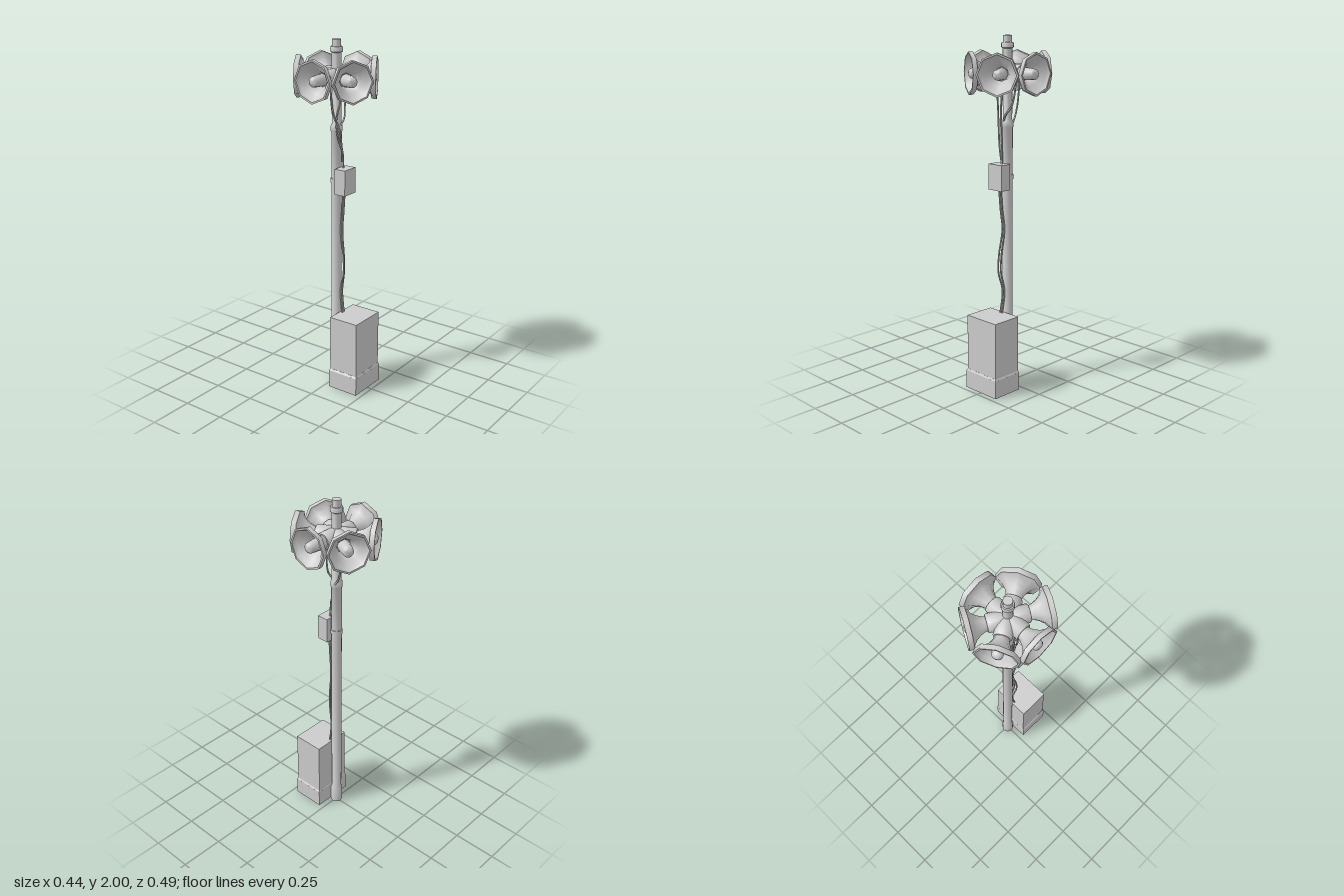
import * as THREE from 'three';
import { toCreasedNormals } from 'three/addons/utils/BufferGeometryUtils.js';

const grey = new THREE.MeshStandardMaterial({ color: 0xcccccc, side: THREE.DoubleSide });
const POLE_X = -0.004;
const HORN_Y = 1.8;

function part(name, geometry, x = 0, y = 0, z = 0) {
  const mesh = new THREE.Mesh(geometry, grey);
  mesh.name = name;
  mesh.position.set(x, y, z);
  return mesh;
}

// Turned shape from [radius, height] pairs, keeping hard edges sharp
function turned(pairs, sides) {
  const points = pairs.map(([r, y]) => new THREE.Vector2(r, y));
  return toCreasedNormals(new THREE.LatheGeometry(points, sides), 0.8);
}

// Box given by its limits on each axis
function block(name, [x0, x1], [y0, y1], [z0, z1]) {
  return part(name, new THREE.BoxGeometry(x1 - x0, y1 - y0, z1 - z0),
    (x0 + x1) / 2, (y0 + y1) / 2, (z0 + z1) / 2);
}

function cable(name, points) {
  const curve = new THREE.CatmullRomCurve3(points.map(p => new THREE.Vector3(...p)));
  return part(name, new THREE.TubeGeometry(curve, 48, 0.005, 6));
}

// One loudspeaker pointing along +z
function makeHorn() {
  const horn = new THREE.Group();
  horn.name = 'horn';
  const driver = turned([[0, 0.015], [0.046, 0.015], [0.048, 0.02], [0.048, 0.1],
    [0.044, 0.107], [0, 0.107]], 16);
  // Flared octagonal bell: outer skin, rim, then inner skin back to the throat
  const bell = turned([[0.037, 0.1], [0.042, 0.122], [0.053, 0.145], [0.072, 0.169],
    [0.1, 0.189], [0.114, 0.19], [0.116, 0.217], [0.106, 0.217], [0.096, 0.196],
    [0.068, 0.174], [0.049, 0.15], [0.038, 0.125], [0, 0.12]], 8);
  const plug = turned([[0.034, 0.12], [0.032, 0.17], [0.028, 0.205],
    [0.018, 0.214], [0, 0.218]], 12);
  for (const [name, geometry] of [['hornDriver', driver], ['hornBell', bell], ['hornPlug', plug]]) {
    geometry.rotateX(Math.PI / 2);
    horn.add(part(name, geometry));
  }
  return horn;
}

export function createModel() {
  const model = new THREE.Group();
  model.name = 'loudspeakerPole';

  // Stepped pole with foot sleeve, clamp, joint collar and cap
  model.add(part('pole', turned([
    [0, 0], [0.034, 0], [0.034, 0.095], [0.029, 0.105],
    [0.029, 1.215], [0.033, 1.215], [0.033, 1.24], [0.029, 1.24],
    [0.029, 1.5], [0.032, 1.505], [0.032, 1.535], [0.026, 1.545],
    [0.026, 1.93], [0.034, 1.935], [0.034, 1.955], [0.031, 1.962],
    [0.024, 1.962], [0.024, 2], [0, 2]], 16), POLE_X));

  // Ring of six horns
  const horns = new THREE.Group();
  horns.name = 'hornRing';
  horns.position.set(POLE_X, HORN_Y, 0);
  for (let i = 0; i < 6; i++) {
    const horn = makeHorn();
    horn.rotation.y = Math.PI / 6 + i * Math.PI / 3;
    horns.add(horn);
  }
  model.add(horns);

  // Ground cabinet with a wider plinth and a small chamfer
  model.add(block('cabinetBody', [-0.111, 0.114], [0.1, 0.44], [0.033, 0.215]));
  model.add(block('cabinetPlinth', [-0.119, 0.12], [0, 0.105], [0.03, 0.221]));
  const chamfer = new THREE.CylinderGeometry(Math.SQRT1_2, Math.SQRT1_2 * 1.06, 1, 4);
  chamfer.rotateY(Math.PI / 4);
  chamfer.scale(0.225, 0.01, 0.18);
  const chamferMesh = part('cabinetChamfer', toCreasedNormals(chamfer, 0.5), 0.0005, 0.11, 0.1255);
  model.add(chamferMesh);

  // Junction box on the pole
  model.add(block('junctionBox', [-0.058, 0.043], [1.16, 1.305], [0.027, 0.095]));

  // Cables from the cabinet to the junction box
  for (const [x, s] of [[-0.014, 1], [0.0, 0.75]]) {
    model.add(cable('lowerCable', [
      [x, 0.43, 0.05], [x + 0.004, 0.57, 0.035], [x - 0.004, 0.68, 0.033 + 0.026 * s],
      [x - 0.002, 0.78, 0.033 + 0.024 * s], [x + 0.004, 0.93, 0.035],
      [x, 1.04, 0.045], [x - 0.002, 1.17, 0.055]]));
  }

  // Cables from the junction box up to the horns
  model.add(cable('upperCable', [
    [-0.004, 1.3, 0.045], [-0.015, 1.39, 0.05], [-0.038, 1.48, 0.034],
    [-0.046, 1.58, 0.03], [-0.036, 1.66, 0.045], [-0.03, 1.76, 0.06]]));
  model.add(cable('upperCable', [
    [0.0, 1.3, 0.045], [-0.01, 1.42, 0.04], [-0.022, 1.52, 0.032],
    [-0.045, 1.6, 0.01], [-0.05, 1.68, 0.0], [-0.06, 1.78, 0.0]]));
  model.add(cable('sideCable', [
    [-0.004, 1.54, 0.03], [0.02, 1.58, 0.035], [0.045, 1.62, 0.02],
    [0.06, 1.69, 0.01], [0.06, 1.78, 0.0]]));
  model.add(cable('backCable', [
    [0.024, 1.53, -0.015], [0.02, 1.57, -0.038], [0.022, 1.63, -0.052],
    [0.024, 1.7, -0.06], [0.03, 1.78, -0.065]]));

  return model;
}
